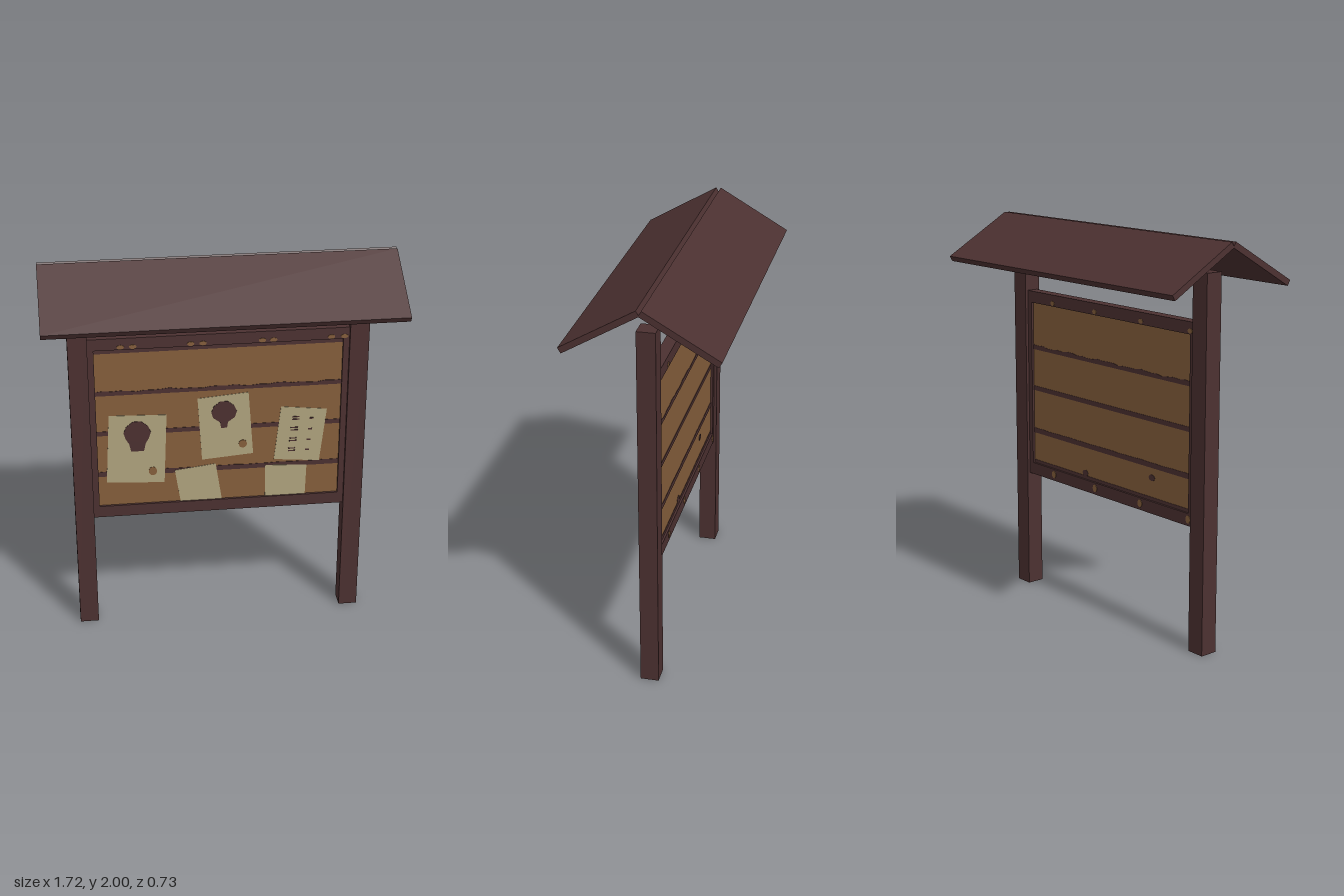
import * as THREE from 'three';

const flat = (name, color) => {
  const m = new THREE.MeshStandardMaterial({ color });
  m.name = name;
  return m;
};

export function createModel() {
  const darkWood = flat('dark wood', 0x4c3131);
  const plankWood = flat('plank wood', 0x865f3c);
  const paper = flat('paper', 0xb0a47e);
  const model = new THREE.Group();
  model.name = 'noticeBoard';

  const add = (name, geometry, material, x = 0, y = 0, z = 0) => {
    const mesh = new THREE.Mesh(geometry, material);
    mesh.name = name;
    mesh.position.set(x, y, z);
    model.add(mesh);
    return mesh;
  };
  const box = (name, w, h, d, material, x, y, z) =>
    add(name, new THREE.BoxGeometry(w, h, d), material, x, y, z);

  // Thin plate cut from an outline; side +1 lies on the front, -1 on the back
  const T = 0.002;
  const plate = (name, points, z, material, side = 1) => {
    const shape = new THREE.Shape(points.map(([x, y]) => new THREE.Vector2(x, y)));
    const geometry = new THREE.ExtrudeGeometry(shape, { depth: T, bevelEnabled: false });
    return add(name, geometry, material, 0, 0, side > 0 ? z : -z - T);
  };
  const spot = (name, x, y, rx, ry, z, material, side = 1) => {
    const points = [];
    for (let i = 0; i < 14; i++) {
      const a = (i / 14) * Math.PI * 2;
      points.push([x + Math.cos(a) * rx, y + Math.sin(a) * ry]);
    }
    return plate(name, points, z, material, side);
  };

  // Posts
  for (const s of [1, -1]) {
    box(s > 0 ? 'leftPost' : 'rightPost', 0.095, 1.85, 0.09, darkWood, s * 0.6875, 0.925, 0);
  }

  // Two roof slabs meeting at the ridge
  for (const s of [1, -1]) {
    const slab = box(s > 0 ? 'frontRoof' : 'backRoof', 1.715, 0.03, 0.41, darkWood, 0, 1.8845, s * 0.182);
    slab.rotation.x = s * Math.PI / 6;
  }

  // Frame around the board
  const railZ = 0.03;
  box('topRail', 1.28, 0.06, railZ * 2, darkWood, 0, 1.58, 0);
  box('bottomRail', 1.28, 0.062, railZ * 2, darkWood, 0, 0.653, 0);
  for (const s of [1, -1]) {
    box('sideRail', 0.03, 0.87, railZ * 2, darkWood, s * 0.625, 1.117, 0);
  }

  // Board panel and the dark gaps between its planks
  const panelZ = 0.018;
  box('panel', 1.22, 0.87, panelZ * 2, plankWood, 0, 1.117, 0);
  const gap = (y, h, wave, side) => {
    const top = [], bottom = [];
    for (let i = 0; i <= 30; i++) {
      const x = -0.61 + (i / 30) * 1.22;
      bottom.push([x, y - h / 2]);
      top.unshift([x, y + h / 2 + wave * (Math.sin(i * 2.3) + Math.sin(i * 0.9))]);
    }
    plate('plankGap', [...bottom, ...top], panelZ, darkWood, side);
  };
  for (const side of [1, -1]) {
    gap(1.312, 0.022, 0.003, side);
    gap(1.093, 0.024, 0, side);
    gap(0.863, 0.026, 0.001, side);
    gap(side > 0 ? 1.54 : 0.69, 0.024, 0, side);
  }
  spot('knot', 0.18, 0.715, 0.022, 0.016, panelZ, darkWood, -1);
  spot('knot', -0.335, 0.8, 0.022, 0.016, panelZ, darkWood, -1);

  // Pale worn marks on the rails
  for (const x of [-0.48, -0.42, -0.14, -0.08, 0.21, 0.265, 0.55, 0.615]) {
    spot('railMark', x, 1.564, 0.018, 0.011, railZ, plankWood);
  }
  for (const x of [0.43, 0.09, -0.26, -0.61]) {
    spot('railMark', x, 1.566, 0.016, 0.012, railZ, plankWood, -1);
    spot('railMark', x, 0.655, 0.016, 0.02, railZ, plankWood, -1);
  }

  // Pinned sheets
  const sheetZ = panelZ + T;
  const sheets = [
    [[-0.569, 0.816], [-0.278, 0.8], [-0.262, 1.182], [-0.548, 1.192]],
    [[-0.087, 0.917], [0.172, 0.938], [0.146, 1.282], [-0.108, 1.261]],
    [[0.278, 0.896], [0.51, 0.874], [0.542, 1.166], [0.31, 1.192]],
    [[-0.198, 0.684], [0.013, 0.684], [-0.018, 0.89], [-0.225, 0.864]],
    [[0.235, 0.684], [0.442, 0.684], [0.447, 0.853], [0.235, 0.864]],
  ];
  sheets.forEach((corners) => plate('sheet', corners, sheetZ, paper));

  // Portrait silhouettes and seals
  const markZ = sheetZ + T;
  const portrait = (x, y, r, neck, drop) => plate('portrait', [
    [x - neck, y - drop], [x + neck, y - drop], [x + neck * 1.3, y - r * 0.8],
    [x + r * 0.85, y - r * 0.4], [x + r, y + r * 0.1], [x + r * 0.8, y + r * 0.6],
    [x + r * 0.3, y + r], [x - r * 0.3, y + r], [x - r * 0.8, y + r * 0.6],
    [x - r, y + r * 0.1], [x - r * 0.85, y - r * 0.4], [x - neck * 1.3, y - r * 0.8],
  ], markZ, darkWood);
  portrait(-0.41, 1.085, 0.068, 0.032, 0.098);
  portrait(0.024, 1.175, 0.064, 0.015, 0.083);
  spot('seal', -0.336, 0.869, 0.021, 0.024, markZ, plankWood);
  spot('seal', 0.119, 0.996, 0.021, 0.022, markZ, plankWood);

  // Short ruled dashes on the third sheet
  [1.125, 1.065, 1.005, 0.948].forEach((y, i) => {
    const x = 0.385 - i * 0.006;
    for (const dy of [0.006, -0.008]) {
      box('dash', 0.036, 0.006, T, darkWood, x, y + dy, markZ + T / 2);
    }
    box('dash', 0.022, 0.008, T, darkWood, x + 0.08, y - 0.006, markZ + T / 2);
  });

  return model;
}
